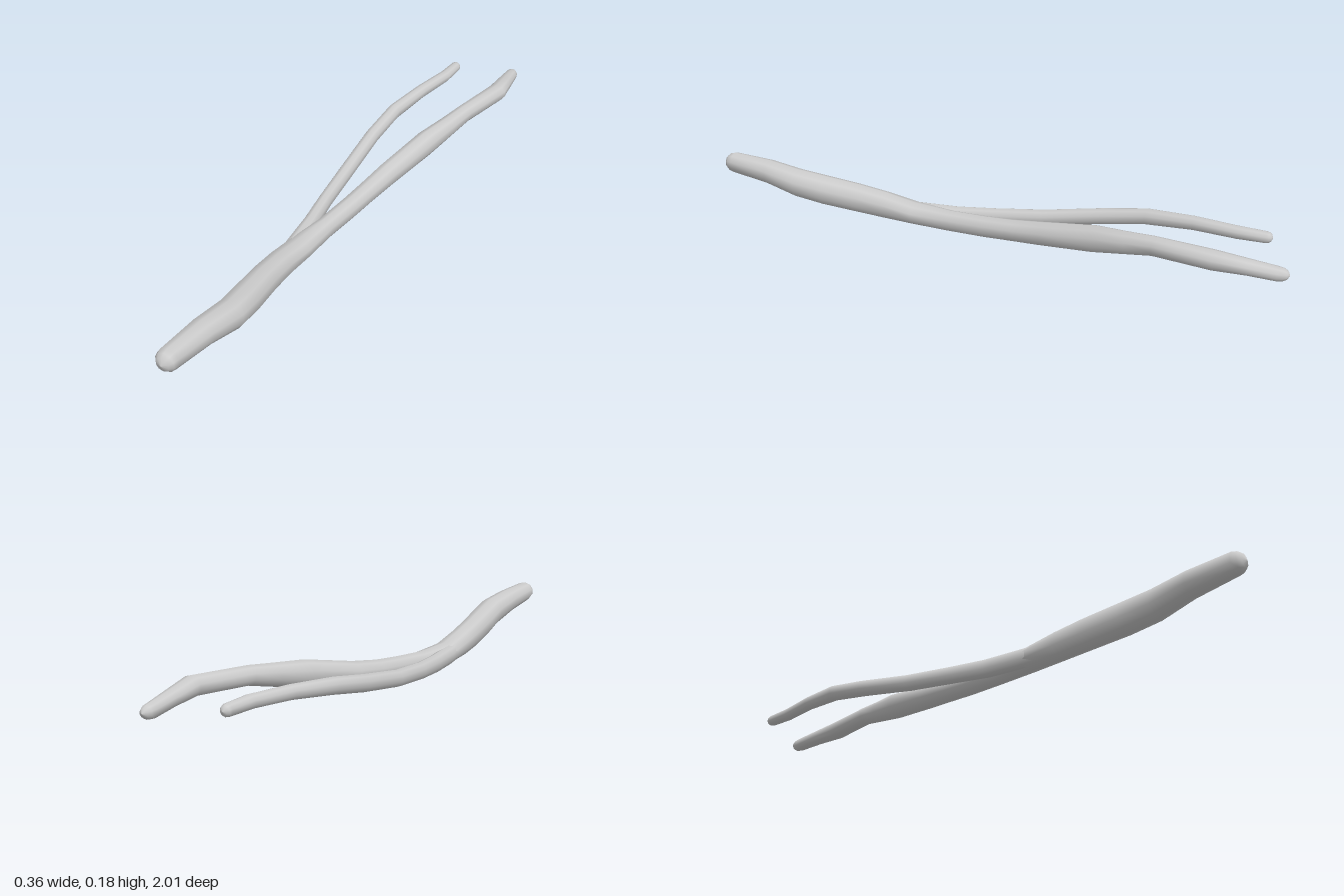
import * as THREE from 'three';

const SIDES = 10;
const material = new THREE.MeshStandardMaterial({ color: 0xcccccc });

// Sweeps oval rings [x, y, z, radiusX, radiusY] from front to back, with domed ends.
function limb(name, rows, dome) {
  const first = rows[0], last = rows[rows.length - 1];
  const steps = [0.04, 0.6, 0.88]; // ring scale from the pole outwards
  const cap = ([x, y, z, rx, ry], dir) => steps.map((s) =>
    [x, y, z + dir * dome * Math.sqrt(1 - s * s), rx * s, ry * s]);
  const rings = [...cap(first, 1), ...rows, ...cap(last, -1).reverse()];

  const positions = [], index = [];
  for (const [x, y, z, rx, ry] of rings) {
    for (let i = 0; i < SIDES; i++) {
      const a = ((i + 0.5) / SIDES) * Math.PI * 2;
      positions.push(x + rx * Math.cos(a), y + ry * Math.sin(a), z);
    }
  }
  for (let r = 0; r < rings.length - 1; r++) {
    for (let i = 0; i < SIDES; i++) {
      const j = (i + 1) % SIDES;
      const a = r * SIDES + i, b = r * SIDES + j;
      index.push(a, a + SIDES, b, b, a + SIDES, b + SIDES);
    }
  }
  // Close both poles
  const end = (rings.length - 1) * SIDES;
  for (let i = 1; i < SIDES - 1; i++) {
    index.push(0, i, i + 1, end, end + i + 1, end + i);
  }

  const geometry = new THREE.BufferGeometry();
  geometry.setAttribute('position', new THREE.Float32BufferAttribute(positions, 3));
  geometry.setIndex(index);
  geometry.computeVertexNormals();
  const mesh = new THREE.Mesh(geometry, material);
  mesh.name = name;
  return mesh;
}

export function createModel() {
  const group = new THREE.Group();
  group.name = 'forkedStick';

  // Thick stem running on into the longer branch
  group.add(limb('stemAndLongBranch', [
    [-0.065, 0.13, 0.965, 0.036, 0.036],
    [-0.058, 0.118, 0.82, 0.044, 0.042],
    [-0.049, 0.097, 0.7, 0.049, 0.049],
    [-0.06, 0.08, 0.6, 0.05, 0.051],
    [-0.075, 0.063, 0.48, 0.047, 0.05],
    [-0.082, 0.05, 0.38, 0.046, 0.046],
    [-0.083, 0.037, 0.27, 0.047, 0.037],
    [-0.067, 0.036, 0.13, 0.033, 0.036],
    [-0.047, 0.045, 0, 0.034, 0.036],
    [-0.032, 0.055, -0.1, 0.036, 0.036],
    [-0.012, 0.07, -0.21, 0.039, 0.039],
    [0.038, 0.106, -0.4, 0.039, 0.045],
    [0.07, 0.125, -0.51, 0.034, 0.037],
    [0.095, 0.141, -0.6, 0.032, 0.031],
    [0.143, 0.15, -0.79, 0.035, 0.031],
    [0.134, 0.141, -0.89, 0.029, 0.025],
    [0.126, 0.131, -0.975, 0.023, 0.023],
  ], 0.025 + 0.01));

  // Thinner side branch growing out of the stem
  group.add(limb('shortBranch', [
    [-0.092, 0.042, 0.36, 0.026, 0.03],
    [-0.106, 0.036, 0.25, 0.027, 0.032],
    [-0.12, 0.036, 0.13, 0.025, 0.031],
    [-0.137, 0.045, 0, 0.024, 0.029],
    [-0.149, 0.063, -0.17, 0.025, 0.028],
    [-0.155, 0.098, -0.37, 0.025, 0.028],
    [-0.145, 0.126, -0.52, 0.025, 0.027],
    [-0.112, 0.143, -0.68, 0.023, 0.023],
    [-0.081, 0.148, -0.82, 0.022, 0.021],
    [-0.077, 0.148, -0.91, 0.019, 0.019],
  ], 0.02));

  return group;
}
